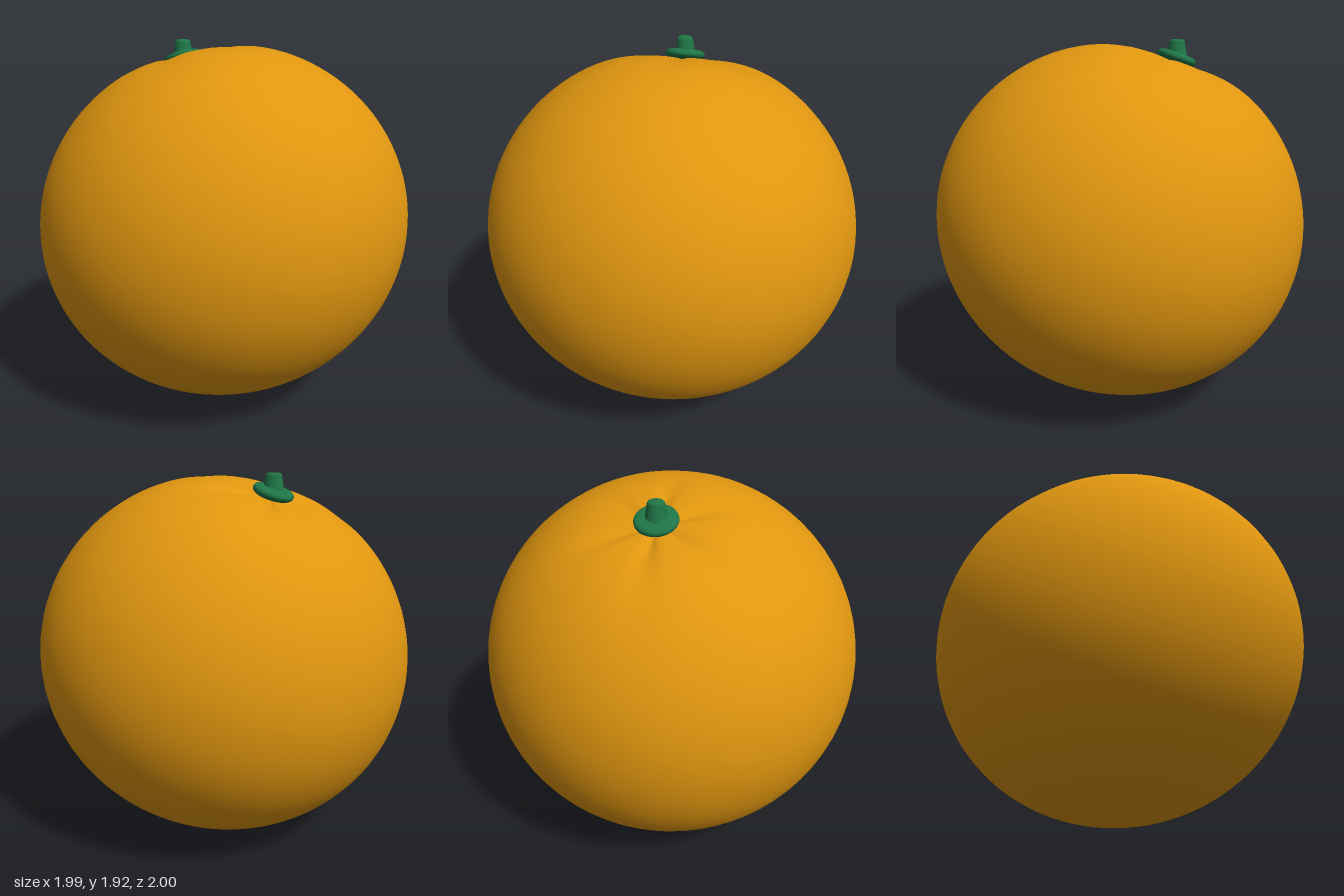
import * as THREE from 'three';
import { mergeVertices } from 'three/addons/utils/BufferGeometryUtils.js';

const TILT = THREE.MathUtils.degToRad(19);
const CENTER_Y = 0.947;

// Flattened sphere with a dimple at the pole and six creases fanning out of it
function fruitGeometry() {
  const geo = new THREE.SphereGeometry(1, 72, 64);
  geo.deleteAttribute('uv');
  geo.deleteAttribute('normal');
  const merged = mergeVertices(geo, 1e-5);
  const pos = merged.attributes.position;
  const v = new THREE.Vector3();
  for (let i = 0; i < pos.count; i++) {
    v.fromBufferAttribute(pos, i);
    const theta = THREE.MathUtils.radToDeg(Math.acos(THREE.MathUtils.clamp(v.y, -1, 1)));
    const phi = Math.atan2(v.z, v.x);
    const dimple = 0.055 * Math.exp(-((theta / 16) ** 2));
    const fade = Math.exp(-((theta / 24) ** 2)) * (1 - Math.exp(-((theta / 5) ** 2)));
    const crease = 0.022 * fade * Math.cos(3 * phi) ** 6;
    v.y *= v.y > 0 ? 0.96 : 0.94;
    v.multiplyScalar(1 - dimple - crease);
    pos.setXYZ(i, v.x, v.y, v.z);
  }
  merged.computeVertexNormals();
  return merged;
}

// Smooth turned shape from [radius, height] control points
function turned(points, segments) {
  const curve = new THREE.SplineCurve(points.map(([r, y]) => new THREE.Vector2(r, y)));
  const profile = curve.getPoints(24).map((p) => new THREE.Vector2(Math.max(p.x, 0), p.y));
  return new THREE.LatheGeometry(profile, segments);
}

export function createModel() {
  const group = new THREE.Group();
  const peel = new THREE.MeshStandardMaterial({ color: 0xe0960f });
  peel.name = 'orange peel';
  const green = new THREE.MeshStandardMaterial({ color: 0x1f7547 });
  green.name = 'stem green';

  const add = (name, geometry, material, parent) => {
    const mesh = new THREE.Mesh(geometry, material);
    mesh.name = name;
    parent.add(mesh);
    return mesh;
  };

  // Fruit leaning on its side
  const fruit = new THREE.Group();
  fruit.name = 'fruit';
  fruit.position.y = CENTER_Y;
  fruit.rotation.z = TILT;
  group.add(fruit);
  add('peel', fruitGeometry(), peel, fruit);

  // Rounded calyx disc following the tilt
  const calyx = add('calyx', turned([
    [0, -0.03], [0.07, -0.028], [0.1, -0.014], [0.106, 0.002],
    [0.095, 0.017], [0.06, 0.024], [0, 0.026],
  ], 32), green, fruit);
  calyx.position.y = 0.934;

  // Short upright stem
  const stem = add('stem', turned([
    [0.058, -0.03], [0.05, 0.01], [0.044, 0.045], [0.041, 0.062],
    [0.032, 0.071], [0.015, 0.073], [0, 0.073],
  ], 24), green, group);
  stem.position.set(-0.304, 1.851, 0);

  return group;
}
